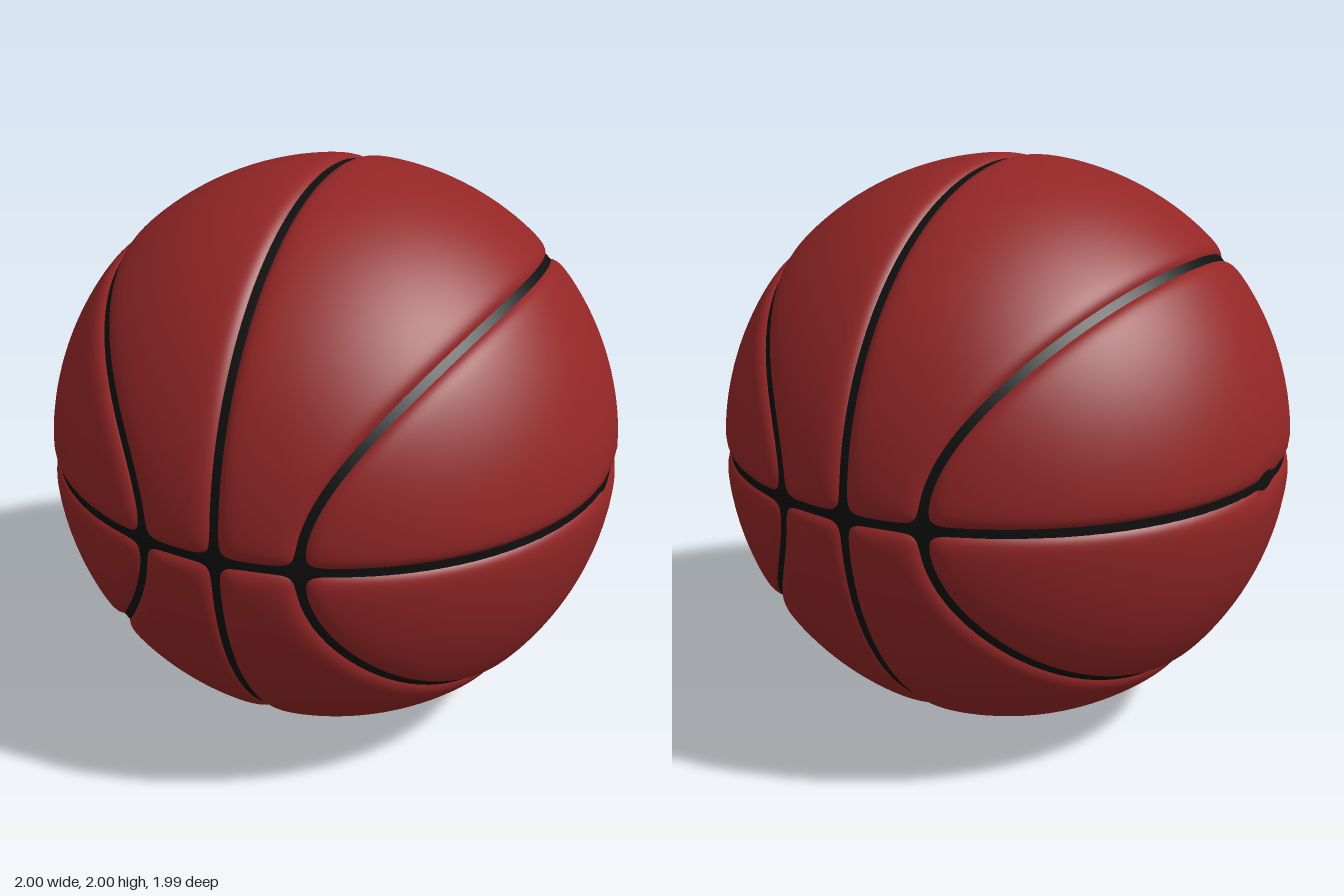
import * as THREE from 'three';

const RADIUS = 1.004;       // panel surface
const CORE = 0.985;         // floor of the seams
const ROWS_OUTER = 28, ROWS_INNER = 36, COLUMNS = 160;

// Polar angle from the x axis of the curved side seam, at angle phi around that axis
function sideSeam(phi) {
  const n = 2.1;
  const y = Math.abs(Math.sin(phi)) / 0.7, z = Math.abs(Math.cos(phi)) / 0.963;
  return Math.asin((y ** n + z ** n) ** (-1 / n));
}

// Spacing that crowds grid lines towards both ends of a span
const crowd = (t) => t - (0.8 * Math.sin(2 * Math.PI * t)) / (2 * Math.PI);

// Dip of the panel surface at a distance from a seam centre line
const dip = (d) => 0.04 * Math.exp(-Math.abs(d) / 0.02);

// Polar angle of a grid row in the +x half: pole, side seam, middle seam
function rowAngle(row, seam) {
  if (row <= ROWS_OUTER) return seam * (1 - (1 - row / ROWS_OUTER) ** 2);
  return seam + (Math.PI / 2 - seam) * crowd((row - ROWS_OUTER) / ROWS_INNER);
}

// Leather panels: a sphere whose grid follows the seams and sinks along them
function panelGeometry() {
  const half = ROWS_OUTER + ROWS_INNER, rows = half * 2, columns = COLUMNS * 2;
  const positions = [], indices = [];
  for (let j = 0; j <= columns; j++) {
    const side = Math.floor(j / COLUMNS);
    const phi = Math.PI * (side + crowd((j % COLUMNS) / COLUMNS));
    const seam = sideSeam(phi);
    const slope = (sideSeam(phi + 0.001) - sideSeam(phi - 0.001)) / 0.002;
    for (let i = 0; i <= rows; i++) {
      const mirrored = i > half;
      const angle = rowAngle(mirrored ? rows - i : i, seam);
      const s = Math.sin(angle);
      const x = Math.cos(angle) * (mirrored ? -1 : 1);
      const y = s * Math.sin(phi), z = s * Math.cos(phi);
      const toSide = (angle - seam) / Math.hypot(1, slope / Math.max(s, 0.05));
      const r = RADIUS - dip(x) - dip(y) - dip(toSide);
      positions.push(x * r, y * r, z * r);
      if (i < rows && j < columns) {
        const a = j * (rows + 1) + i, b = a + 1, c = a + rows + 1, d = c + 1;
        indices.push(a, c, b, b, c, d);
      }
    }
  }
  const geometry = new THREE.BufferGeometry();
  geometry.setAttribute('position', new THREE.Float32BufferAttribute(positions, 3));
  geometry.setIndex(indices);
  geometry.computeVertexNormals();
  return geometry;
}

export function createModel() {
  const leather = new THREE.MeshStandardMaterial({ color: 0x942626 });
  leather.name = 'red leather';
  const rubber = new THREE.MeshStandardMaterial({ color: 0x101010 });
  rubber.name = 'black rubber';

  const ball = new THREE.Group();
  ball.name = 'ball';

  const panels = new THREE.Mesh(panelGeometry(), leather);
  panels.name = 'panels';

  // Dark core that shows through wherever the panels sink below it
  const seams = new THREE.Mesh(new THREE.SphereGeometry(CORE, 160, 100), rubber);
  seams.name = 'seams';

  ball.add(panels, seams);
  ball.position.y = 1;

  const model = new THREE.Group();
  model.name = 'basketball';
  model.add(ball);
  return model;
}
